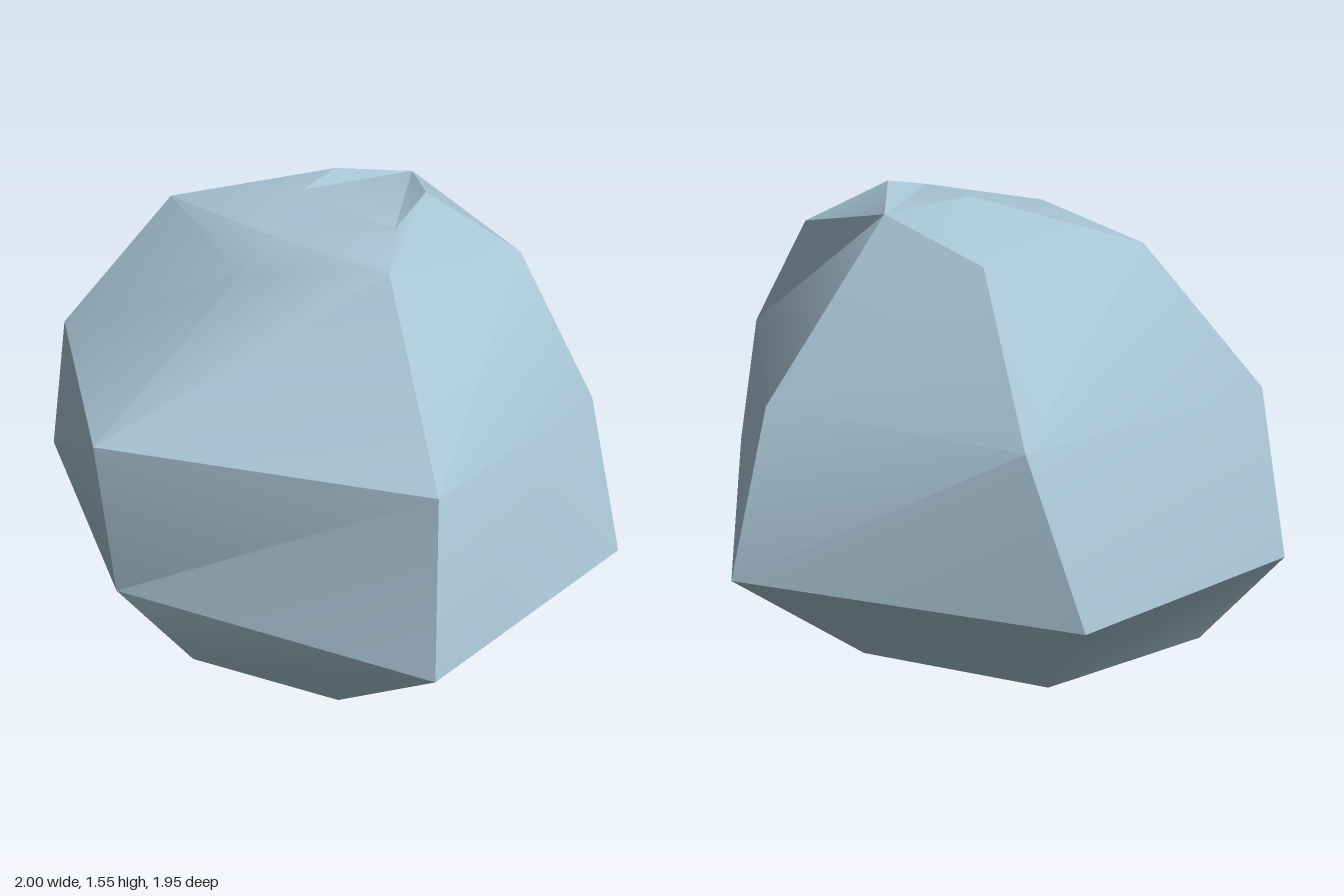
import * as THREE from 'three';
import { toCreasedNormals } from 'three/addons/utils/BufferGeometryUtils.js';

// Six-sided cross-sections, each running from +x through +z (front) to -x and round the back
const rings = [
  [[0.5, 0, -0.02], [0.22, 0.08, 0.62], [-0.49, 0.05, 0.52], [-0.66, 0.01, -0.02], [-0.43, 0.03, -0.7], [0.18, 0.01, -0.61]],
  [[1, 0.42, -0.02], [0.36, 0.46, 0.97], [-0.51, 0.385, 0.96], [-0.955, 0.44, -0.02], [-0.515, 0.41, -0.98], [0.365, 0.41, -0.98]],
  [[0.845, 0.97, -0.02], [0.365, 0.97, 0.81], [-0.44, 0.97, 0.885], [-1, 0.99, -0.02], [-0.515, 0.96, -0.84], [0.47, 0.96, -0.82]],
  [[0.38, 1.51, -0.02], [0.34, 1.39, 0.5], [-0.18, 1.45, 0.42], [-0.38, 1.37, -0.03], [-0.225, 1.43, -0.57], [0.31, 1.41, -0.43]],
];

function createRockGeometry() {
  const positions = [];
  const face = (...corners) => corners.forEach((p) => positions.push(...p));

  // Sides: join each cross-section to the next
  for (let r = 0; r < rings.length - 1; r++) {
    for (let i = 0; i < 6; i++) {
      const j = (i + 1) % 6;
      const a = rings[r][i], b = rings[r][j];
      const aUp = rings[r + 1][i], bUp = rings[r + 1][j];
      face(a, aUp, b);
      face(aUp, bUp, b);
    }
  }

  // Underside
  const base = rings[0];
  for (let i = 1; i < 5; i++) face(base[0], base[i], base[i + 1]);

  // Crown: a shallow notch between two low peaks
  const [a, b, c, d, e, f] = rings[3];
  const frontPeak = [0.19, 1.555, 0.22];
  const frontRim = [-0.02, 1.505, 0.285];
  const leftRim = [-0.27, 1.47, -0.03];
  const backPeak = [0.13, 1.555, -0.135];
  const notch = [-0.01, 1.514, -0.145];
  face(b, a, frontPeak);
  face(b, frontPeak, c);
  face(frontPeak, frontRim, c);
  face(a, frontRim, frontPeak);
  face(a, notch, frontRim);
  face(notch, leftRim, frontRim);
  face(frontRim, leftRim, c);
  face(leftRim, d, c);
  face(e, d, leftRim);
  face(notch, e, leftRim);
  face(notch, backPeak, e);
  face(backPeak, f, e);
  face(a, f, backPeak);
  face(a, backPeak, notch);

  const geometry = new THREE.BufferGeometry();
  geometry.setAttribute('position', new THREE.Float32BufferAttribute(positions, 3));
  return toCreasedNormals(geometry, THREE.MathUtils.degToRad(30));
}

export function createModel() {
  const stone = new THREE.MeshStandardMaterial({ color: 0xa8c4d4 });
  stone.name = 'blue grey stone';

  const rock = new THREE.Mesh(createRockGeometry(), stone);
  rock.name = 'rock';

  const group = new THREE.Group();
  group.name = 'boulder';
  group.add(rock);
  return group;
}
